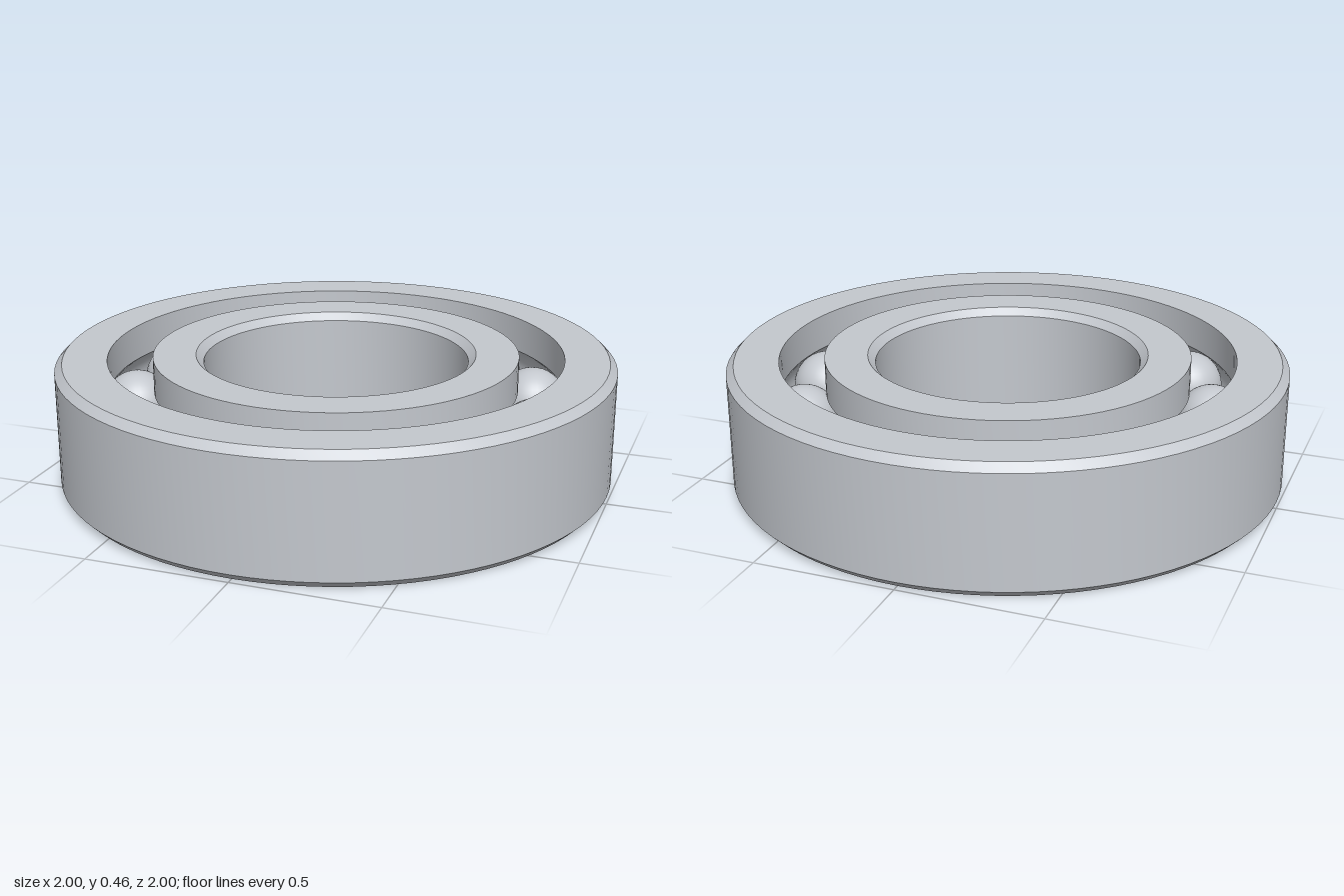
import * as THREE from 'three';
import { toCreasedNormals } from 'three/addons/utils/BufferGeometryUtils.js';

const HEIGHT = 0.455;
const MID = HEIGHT / 2;
const CHAMFER = 0.027;
const PITCH = 0.735;   // radius of the circle of balls
const BALL = 0.125;
const GROOVE = 0.127;  // raceway radius
const BALL_COUNT = 13;

// Arc of the raceway between its two edges on a wall of the given radius
function groove(wall, steps = 12) {
  const half = Math.acos(Math.abs(wall - PITCH) / GROOVE);
  const side = Math.sign(wall - PITCH);
  return Array.from({ length: steps + 1 }, (_, i) => {
    const a = half * (1 - (2 * i) / steps);
    return [PITCH + side * GROOVE * Math.cos(a), MID + side * GROOVE * Math.sin(a)];
  });
}

// Closed counterclockwise profile turned about the y axis
function ring(name, profile, material) {
  const points = [...profile, profile[0]].map(([x, y]) => new THREE.Vector2(x, y));
  const geometry = toCreasedNormals(new THREE.LatheGeometry(points, 96), Math.PI / 6);
  const mesh = new THREE.Mesh(geometry, material);
  mesh.name = name;
  return mesh;
}

export function createModel() {
  const model = new THREE.Group();
  model.name = 'ballBearing';
  const steel = new THREE.MeshStandardMaterial({ color: 0xc4c8ce });
  steel.name = 'steel';

  // Outer ring: chamfered outside, raceway inside
  const outer = 1, outerWall = 0.815;
  model.add(ring('outerRing', [
    [outerWall, 0], [outer - CHAMFER, 0], [outer, CHAMFER],
    [outer, HEIGHT - CHAMFER], [outer - CHAMFER, HEIGHT], [outerWall, HEIGHT],
    ...groove(outerWall),
  ], steel));

  // Inner ring: raceway outside, chamfered bore
  const bore = 0.475, innerWall = 0.655;
  model.add(ring('innerRing', [
    [bore + CHAMFER, 0], [innerWall, 0],
    ...groove(innerWall),
    [innerWall, HEIGHT], [bore + CHAMFER, HEIGHT],
    [bore, HEIGHT - CHAMFER], [bore, CHAMFER],
  ], steel));

  // Balls evenly spaced between the raceways
  const balls = new THREE.Group();
  balls.name = 'balls';
  const ballGeometry = new THREE.SphereGeometry(BALL, 32, 24);
  for (let i = 0; i < BALL_COUNT; i++) {
    const a = (i / BALL_COUNT) * Math.PI * 2;
    const ball = new THREE.Mesh(ballGeometry, steel);
    ball.name = `ball${i + 1}`;
    ball.position.set(PITCH * Math.cos(a), MID, PITCH * Math.sin(a));
    balls.add(ball);
  }
  model.add(balls);
  return model;
}
